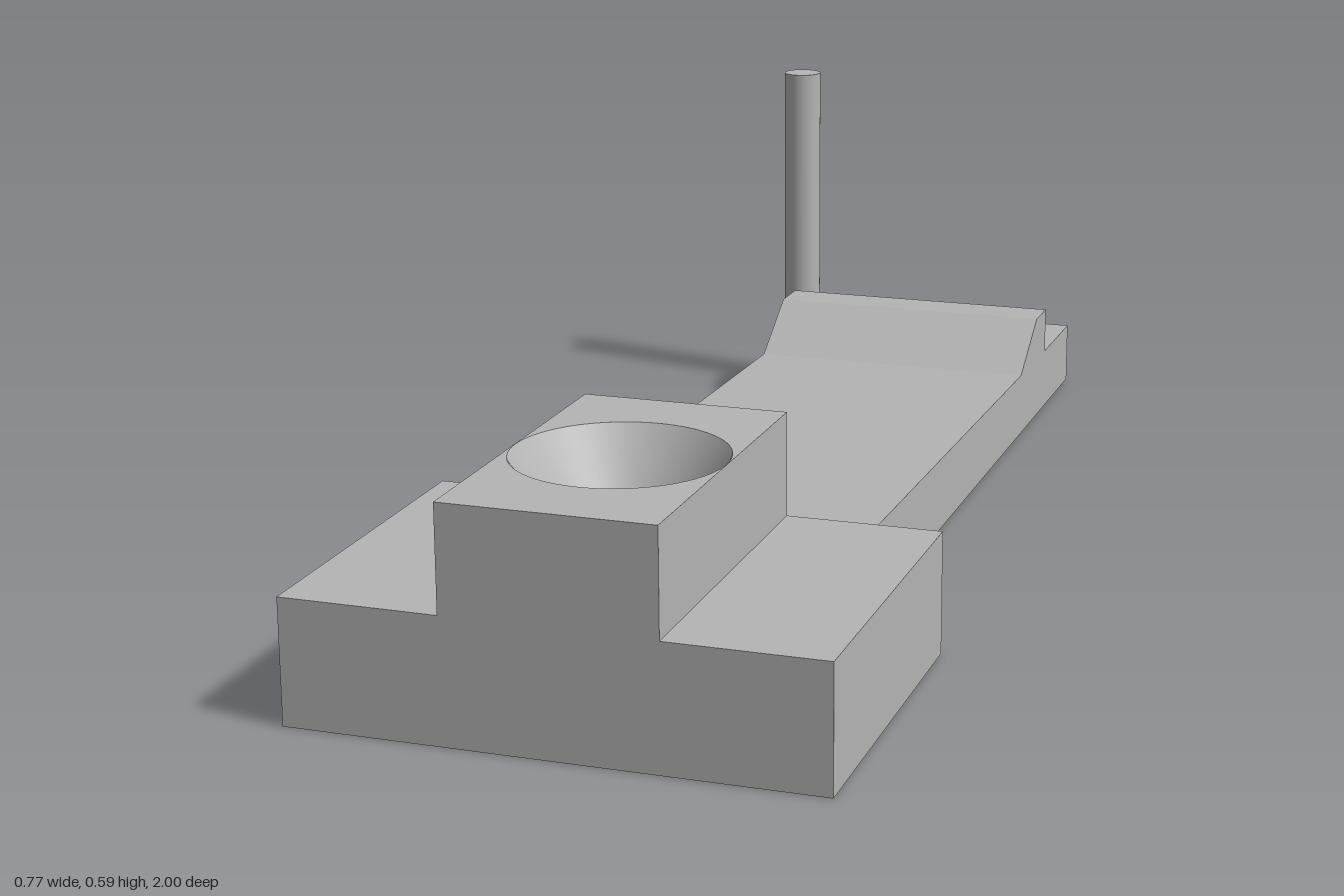
import * as THREE from 'three';

const HOLE_Z = 0.733, BORE = 0.083, SINK = 0.152;
const BASE_TOP = 0.183, SINK_Y = 0.237, BOSS_TOP = 0.337, LEDGE = 0.105;

// Horizontal rectangular slab with a round vertical hole
function drilledSlab(halfW, z0, z1, y0, y1, radius) {
  const shape = new THREE.Shape([
    new THREE.Vector2(-halfW, -z1), new THREE.Vector2(halfW, -z1),
    new THREE.Vector2(halfW, -z0), new THREE.Vector2(-halfW, -z0),
  ]);
  const hole = new THREE.Path();
  hole.absarc(0, -HOLE_Z, radius, 0, Math.PI * 2, true);
  shape.holes.push(hole);
  const geo = new THREE.ExtrudeGeometry(shape, { depth: y1 - y0, bevelEnabled: false, curveSegments: 64 });
  return geo.rotateX(-Math.PI / 2).translate(0, y0, 0);
}

export function createModel() {
  const group = new THREE.Group();
  const grey = new THREE.MeshStandardMaterial({ color: 0xb4b4b4 });
  grey.name = 'plain grey';

  const add = (name, geo) => {
    const mesh = new THREE.Mesh(geo, grey);
    mesh.name = name;
    group.add(mesh);
    return mesh;
  };

  // Wide mounting head with a raised, countersunk boss
  add('headBase', drilledSlab(0.383, 0.473, 1, 0, BASE_TOP, BORE));
  add('bossLower', drilledSlab(0.153, 0.473, 1, BASE_TOP, SINK_Y, BORE));
  add('bossUpper', drilledSlab(0.153, 0.473, 1, SINK_Y, BOSS_TOP, SINK));

  // Conical countersink, facing inwards
  const cone = [new THREE.Vector2(SINK, BOSS_TOP), new THREE.Vector2(BORE, SINK_Y)];
  add('countersink', new THREE.LatheGeometry(cone, 64)).position.z = HOLE_Z;

  // Long arm: side profile as (z, y), extruded across x
  const profile = [
    [-1, 0], [0.473, 0], [0.473, BASE_TOP], [0.373, 0.124], [-0.617, 0.108],
    [-0.733, BASE_TOP], [-0.806, BASE_TOP], [-0.806, LEDGE], [-1, LEDGE],
  ].map(([z, y]) => new THREE.Vector2(z, y));
  const arm = new THREE.ExtrudeGeometry(new THREE.Shape(profile), { depth: 0.48, bevelEnabled: false });
  add('arm', arm.rotateY(-Math.PI / 2).translate(0.24, 0, 0));

  // Upright pin on the edge of the rear ledge
  const pinTop = 0.588;
  add('pin', new THREE.CylinderGeometry(0.033, 0.033, pinTop - LEDGE, 40))
    .position.set(-0.241, (pinTop + LEDGE) / 2, -0.853);

  return group;
}
